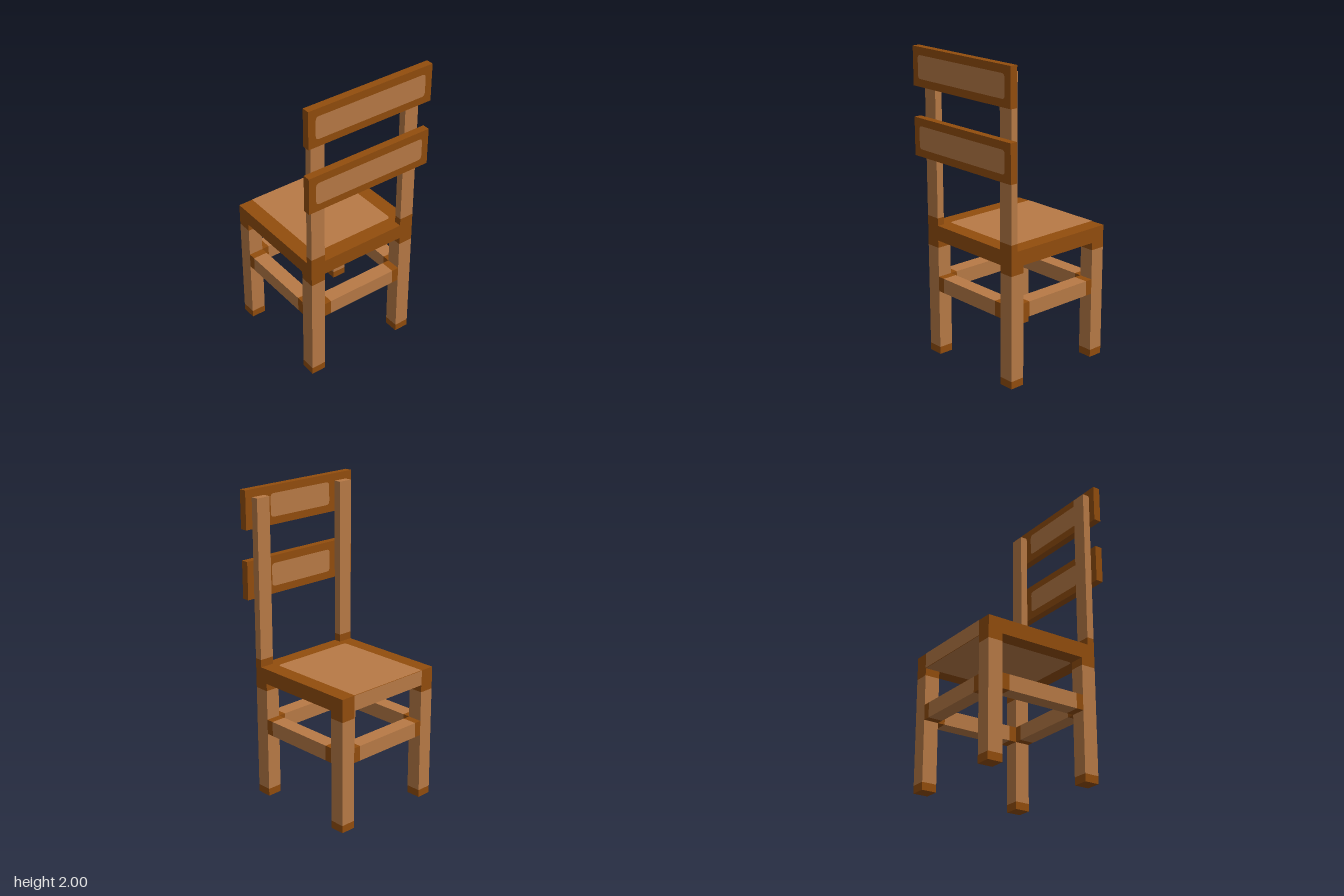
import * as THREE from 'three';

const U = 2 / 41; // design unit: the chair is 41 units tall
const darkWood = new THREE.MeshStandardMaterial({ color: 0x924d0d });
darkWood.name = 'dark wood';
const lightWood = new THREE.MeshStandardMaterial({ color: 0xb87a46 });
lightWood.name = 'light wood';

// Box given by its min and max corners, in units
function box(name, material, min, max) {
  const size = max.map((v, i) => (v - min[i]) * U);
  const mesh = new THREE.Mesh(new THREE.BoxGeometry(...size), material);
  mesh.position.set(...max.map((v, i) => ((v + min[i]) / 2) * U));
  mesh.name = name;
  return mesh;
}

// Bar along one axis, split into dark tips and a light middle
function bar(name, min, max, axis, tips) {
  const group = new THREE.Group();
  group.name = name;
  const cuts = [min[axis], min[axis] + tips[0], max[axis] - tips[1], max[axis]];
  for (let i = 0; i < 3; i++) {
    if (cuts[i + 1] <= cuts[i]) continue;
    const a = [...min], b = [...max];
    a[axis] = cuts[i];
    b[axis] = cuts[i + 1];
    group.add(box(i === 1 ? 'middle' : 'tip', i === 1 ? lightWood : darkWood, a, b));
  }
  return group;
}

// Flat inlay w by h units; corner cuts r at the bottom and top
function inlay(name, w, h, rBottom, rTop) {
  const x = (w / 2) * U, y = (h / 2) * U, b = rBottom * U, t = rTop * U;
  const s = new THREE.Shape();
  s.moveTo(-x + b, -y);
  s.lineTo(x - b, -y);
  s.quadraticCurveTo(x, -y, x, -y + b);
  s.lineTo(x, y - t);
  s.quadraticCurveTo(x, y, x - t, y);
  s.lineTo(-x + t, y);
  s.quadraticCurveTo(-x, y, -x, y - t);
  s.lineTo(-x, -y + b);
  s.quadraticCurveTo(-x, -y, -x + b, -y);
  const mesh = new THREE.Mesh(new THREE.ShapeGeometry(s, 4), lightWood);
  mesh.name = name;
  return mesh;
}

export function createModel() {
  const chair = new THREE.Group();
  chair.name = 'chair';
  const gap = 0.002; // lift of inlays over the wood

  // Seat with light inlays on top, underside and rear edge
  const seat = new THREE.Group();
  seat.name = 'seat';
  seat.add(box('seatBoard', darkWood, [-8, 16, -8.5], [8, 18, 7.5]));
  const top = inlay('seatTopInlay', 12, 14, 0.5, 0);
  top.rotation.x = -Math.PI / 2;
  top.position.set(0, 18 * U + gap, -1.5 * U);
  const under = inlay('seatUndersideInlay', 12, 14, 0, 0.5);
  under.rotation.x = Math.PI / 2;
  under.position.set(0, 16 * U - gap, -1.5 * U);
  const edge = inlay('seatEdgeInlay', 12, 2, 0, 0);
  edge.rotation.y = Math.PI;
  edge.position.set(0, 17 * U, -8.5 * U - gap);
  seat.add(top, under, edge);
  chair.add(seat);

  // Legs, posts and side stretchers, mirrored left and right
  for (const [side, x] of [['left', 6], ['right', -8]]) {
    for (const [end, z] of [['Front', 5.5], ['Rear', -8.5]]) {
      chair.add(bar(`${side}${end}Leg`, [x, 0, z], [x + 2, 16, z + 2], 1, [1, 1]));
    }
    chair.add(bar(`${side}Stretcher`, [x, 9, -6.5], [x + 2, 11, 5.5], 2, [1, 1]));
    chair.add(bar(`${side}Post`, [x, 18, 6.5], [x + 2, 40, 7.5], 1, [1, 0]));
  }

  // Front and rear stretchers
  for (const [end, z] of [['front', 5.5], ['rear', -8.5]]) {
    chair.add(bar(`${end}Stretcher`, [-6, 9, z], [6, 11, z + 2], 0, [1, 1]));
  }

  // Backrest slats with an inlay on each face
  for (const [name, y] of [['lowerSlat', 27], ['upperSlat', 36]]) {
    const slat = new THREE.Group();
    slat.name = name;
    slat.add(box('slatBoard', darkWood, [-9, y, 7.5], [9, y + 5, 8.5]));
    const front = inlay('slatFrontInlay', 16, 3, 0.5, 0.5);
    front.position.set(0, (y + 2.5) * U, 8.5 * U + gap);
    const back = inlay('slatBackInlay', 10, 3, 0.5, 0.5);
    back.rotation.y = Math.PI;
    back.position.set(0, (y + 2.5) * U, 7.5 * U - gap);
    slat.add(front, back);
    chair.add(slat);
  }
  return chair;
}
